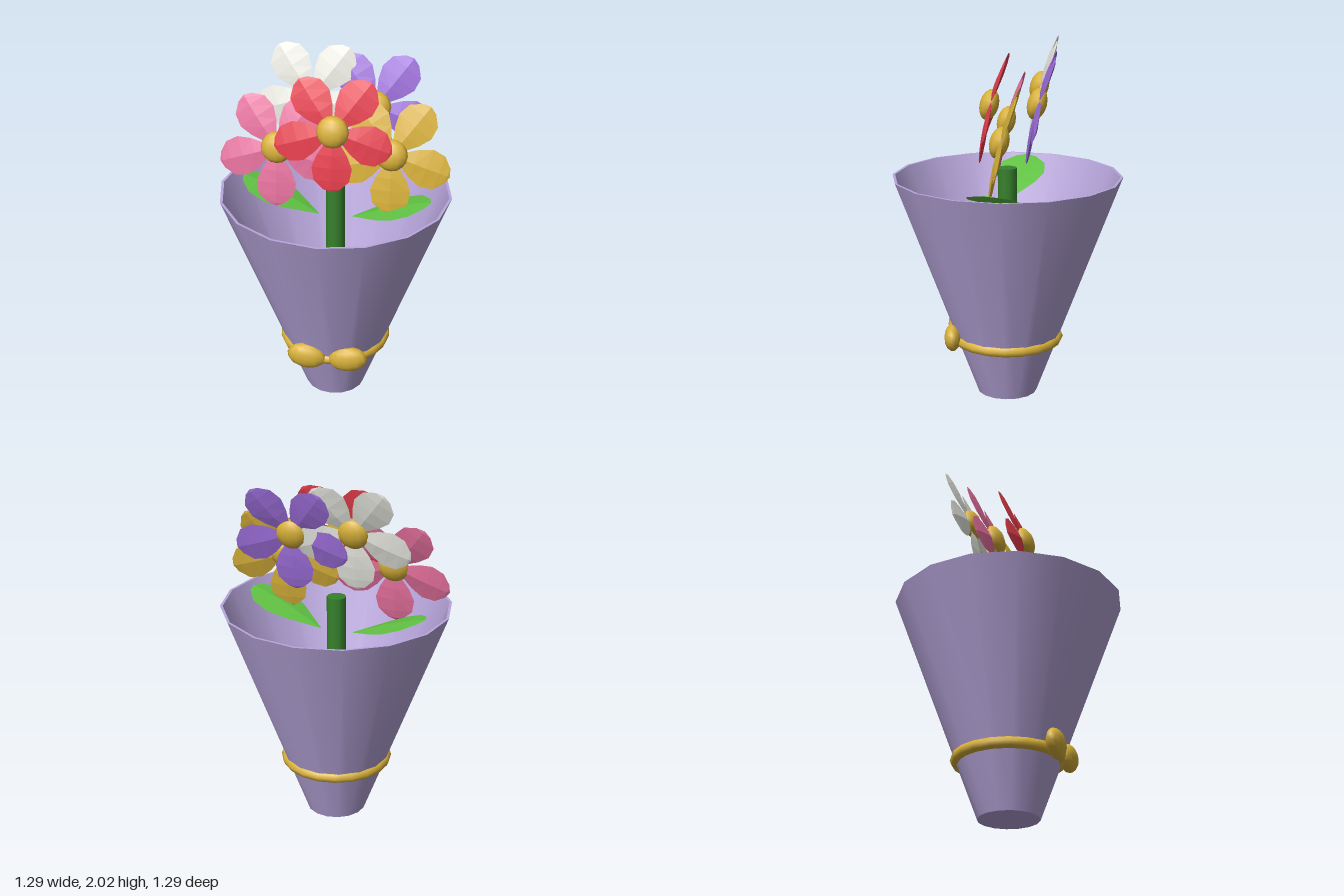
import * as THREE from 'three';
import { toCreasedNormals } from 'three/addons/utils/BufferGeometryUtils.js';

const material = (name, color) => {
  const m = new THREE.MeshStandardMaterial({ color });
  m.name = name;
  return m;
};

// Faceted lens-shaped blade pointing along +x, facing +z, with a midrib ridge
function bladeGeometry() {
  // distance along, half width, half thickness
  const sections = [
    [0.0, 0.0, 0.0], [0.13, 0.083, 0.013], [0.2, 0.11, 0.014],
    [0.272, 0.097, 0.011], [0.32, 0.045, 0.006], [0.335, 0.0, 0.0],
  ];
  const rings = sections.map(([t, w, h]) => {
    const z = -0.09 * t;
    return [[t, w, z], [t, 0, z + h], [t, -w, z], [t, 0, z - h]];
  });
  const positions = [];
  for (let i = 0; i < rings.length - 1; i++) {
    for (let k = 0; k < 4; k++) {
      const n = (k + 1) % 4;
      const a = rings[i][k], b = rings[i][n], c = rings[i + 1][n], d = rings[i + 1][k];
      if (i > 0) positions.push(...a, ...b, ...d);
      if (i < rings.length - 2) positions.push(...b, ...c, ...d);
      else continue;
      if (i === 0) continue;
    }
  }
  const g = new THREE.BufferGeometry();
  g.setAttribute('position', new THREE.Float32BufferAttribute(positions, 3));
  g.computeVertexNormals();
  return g;
}

export function createModel() {
  const model = new THREE.Group();
  model.name = 'bouquet';

  const lavender = material('lavender paper', 0xb8a6dc);
  const gold = material('gold', 0xd8b13a);
  const red = material('red', 0xe63e4d);
  const pink = material('pink', 0xe8729f);
  const white = material('white', 0xeeeee6);
  const purple = material('purple', 0x9b6dd8);
  const stemGreen = material('stem green', 0x37822d);
  const leafGreen = material('leaf green', 0x62c444);

  const add = (parent, name, geometry, mat, x = 0, y = 0, z = 0) => {
    const mesh = new THREE.Mesh(geometry, mat);
    mesh.name = name;
    mesh.position.set(x, y, z);
    parent.add(mesh);
    return mesh;
  };

  // Paper cone with a thin wall and closed foot
  const profile = [[0, 0], [0.17, 0], [0.645, 1.27], [0.63, 1.27], [0.157, 0.012], [0, 0.012]]
    .map(([r, y]) => new THREE.Vector2(r, y));
  add(model, 'wrap', toCreasedNormals(new THREE.LatheGeometry(profile, 16), 0.6), lavender);

  // Ribbon band and two bow loops
  const band = new THREE.TorusGeometry(0.286, 0.033, 8, 20);
  band.rotateX(Math.PI / 2);
  add(model, 'ribbonBand', band, gold, 0, 0.332, 0);
  const ball = new THREE.SphereGeometry(1, 12, 8);
  for (const side of [-1, 1]) {
    const loop = add(model, side > 0 ? 'bowLoopLeft' : 'bowLoopRight', ball, gold,
      side * 0.118, 0.352, 0.302);
    loop.scale.set(0.112, 0.078, 0.05);
    loop.rotation.z = side * 0.15;
  }

  // Stem
  add(model, 'stem', new THREE.CylinderGeometry(0.054, 0.054, 1.295, 10), stemGreen, 0, 0.6675, 0);

  // Two leaves on opposite sides, rising outwards
  const blade = bladeGeometry();
  for (const turn of [0, Math.PI]) {
    const pivot = new THREE.Group();
    pivot.name = turn ? 'leafRight' : 'leafLeft';
    pivot.position.set(turn ? -0.09 : 0.09, 1.11, 0);
    pivot.rotation.set(0, turn - 0.19, 0.42, 'YXZ');
    const leaf = add(pivot, 'leafBlade', blade, leafGreen);
    leaf.rotation.x = -Math.PI / 2;
    leaf.scale.set(1.45, 1.32, 1);
    model.add(pivot);
  }

  // Five-petalled flowers leaning back
  const flowers = [
    ['redFlower', red, 0, 1.67, 0.1],
    ['pinkFlower', pink, -0.32, 1.52, 0.025],
    ['yellowFlower', gold, 0.31, 1.52, 0.025],
    ['whiteFlower', white, -0.157, 1.75, -0.17],
    ['purpleFlower', purple, 0.193, 1.71, -0.17],
  ];
  for (const [name, mat, x, y, z] of flowers) {
    const flower = new THREE.Group();
    flower.name = name;
    flower.position.set(x, y, z);
    flower.rotation.x = -0.26;
    for (let i = 0; i < 5; i++) {
      const petal = add(flower, 'petal', blade, mat);
      petal.rotation.z = -Math.PI / 2 + (i * Math.PI * 2) / 5;
    }
    add(flower, 'flowerCentre', ball, gold).scale.set(0.088, 0.088, 0.053);
    model.add(flower);
  }

  return model;
}
